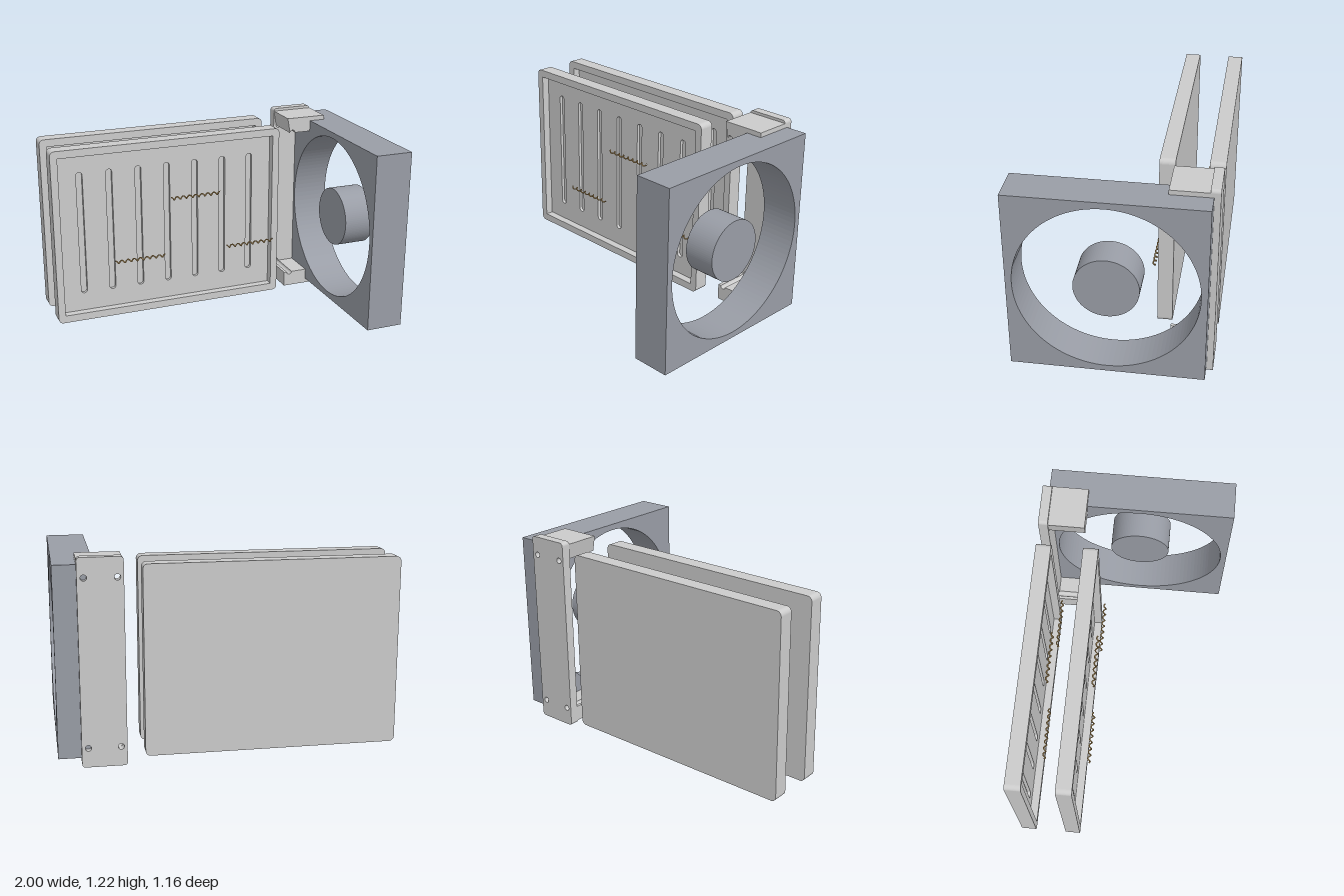
import * as THREE from 'three';

const grey = new THREE.MeshStandardMaterial({ color: 0xcccccc });
const slate = new THREE.MeshStandardMaterial({ color: 0x999da6 });
const brass = new THREE.MeshStandardMaterial({ color: 0xc8a468 });

// Traces a rounded rectangle centred on (cx, cy)
function roundRect(path, cx, cy, w, h, r) {
  const x = w / 2 - r, y = h / 2 - r;
  path.absarc(cx + x, cy + y, r, 0, Math.PI / 2);
  path.absarc(cx - x, cy + y, r, Math.PI / 2, Math.PI);
  path.absarc(cx - x, cy - y, r, Math.PI, Math.PI * 1.5);
  path.absarc(cx + x, cy - y, r, Math.PI * 1.5, Math.PI * 2);
  path.closePath();
  return path;
}

function rect(path, x0, y0, x1, y1) {
  path.moveTo(x0, y0).lineTo(x1, y0).lineTo(x1, y1).lineTo(x0, y1).closePath();
  return path;
}

function circle(path, x, y, r) {
  path.absarc(x, y, r, 0, Math.PI * 2);
  return path;
}

function slab(name, shape, z0, z1, material = grey, curveSegments = 8) {
  const geometry = new THREE.ExtrudeGeometry(shape, { depth: z1 - z0, bevelEnabled: false, curveSegments });
  geometry.translate(0, 0, z0);
  const mesh = new THREE.Mesh(geometry, material);
  mesh.name = name;
  return mesh;
}

class Helix extends THREE.Curve {
  constructor(length, radius, turns) {
    super();
    Object.assign(this, { length, radius, turns });
  }
  getPoint(t, target = new THREE.Vector3()) {
    const a = t * this.turns * Math.PI * 2;
    return target.set((t - 0.5) * this.length, this.radius * Math.cos(a), this.radius * Math.sin(a));
  }
}

// Shallow panel with a recessed, grooved face and small springs in front
function createPanel(name, zBack) {
  const group = new THREE.Group();
  group.name = name;
  const outline = () => roundRect(new THREE.Shape(), -0.25, 0.613, 1.5, 1.125, 0.03);

  const grooved = outline();
  for (let i = 0; i < 7; i++) {
    grooved.holes.push(roundRect(new THREE.Path(), -0.815 + i * 0.1875, 0.615, 0.04, 0.8, 0.0199));
  }
  const rim = outline();
  rim.holes.push(rect(new THREE.Path(), -0.955, 0.098, 0.455, 1.128));

  group.add(
    slab('panelBack', outline(), 0, 0.022),
    slab('groovedFloor', grooved, 0.022, 0.042),
    slab('panelRim', rim, 0.042, 0.092)
  );

  const spring = new THREE.TubeGeometry(new Helix(0.33, 0.0085, 8), 160, 0.0045, 6);
  for (const [x, y] of [[-0.46, 0.425], [-0.085, 0.8], [0.29, 0.425]]) {
    const mesh = new THREE.Mesh(spring, brass);
    mesh.name = 'spring';
    mesh.position.set(x, y, 0.122);
    group.add(mesh);
  }
  group.position.z = zBack;
  return group;
}

// Upright plate with four screw holes and two forward flanges
function createBracket() {
  const group = new THREE.Group();
  group.name = 'bracket';
  const midY = 0.612, holeY = 0.495, holeR = 0.018, holesX = [0.64, 0.828];

  const plate = roundRect(new THREE.Shape(), 0.735, midY, 0.262, 1.22, 0.02);
  for (const x of holesX) {
    for (const s of [-1, 1]) plate.holes.push(circle(new THREE.Path(), x, midY + s * holeY, holeR));
  }
  group.add(slab('bracketPlate', plate, -0.582, -0.525));

  // The inner side of each flange is notched in line with the screw holes
  const flange = new THREE.Shape();
  flange.moveTo(0.604, holeY);
  for (const x of holesX) flange.absarc(x, holeY, holeR, Math.PI, 0, true);
  flange.lineTo(0.866, holeY).lineTo(0.866, 0.593).lineTo(0.604, 0.593).closePath();
  for (const upper of [true, false]) {
    const mesh = slab(upper ? 'topFlange' : 'bottomFlange', flange, -0.11, 0.11);
    mesh.position.set(upper ? 0 : 1.47, midY, -0.415);
    if (!upper) mesh.rotation.z = Math.PI;
    group.add(mesh);
  }
  return group;
}

// Square frame with a large round opening and a free hub at its centre
function createFan() {
  const group = new THREE.Group();
  group.name = 'fan';
  const frame = rect(new THREE.Shape(), -0.563, -0.564, 0.563, 0.564);
  frame.holes.push(circle(new THREE.Path(), 0, 0, 0.526));
  group.add(
    slab('fanFrame', frame, 0, 0.235, slate, 56),
    slab('fanHub', circle(new THREE.Shape(), 0, 0, 0.187), 0.02, 0.215, slate, 48)
  );
  group.rotation.y = Math.PI / 2;
  group.position.set(0.765, 0.613, 0.018);
  return group;
}

export function createModel() {
  const model = new THREE.Group();
  model.name = 'panelAndFanAssembly';
  model.add(
    createPanel('backPanel', -0.584),
    createPanel('frontPanel', -0.302),
    createBracket(),
    createFan()
  );
  return model;
}
